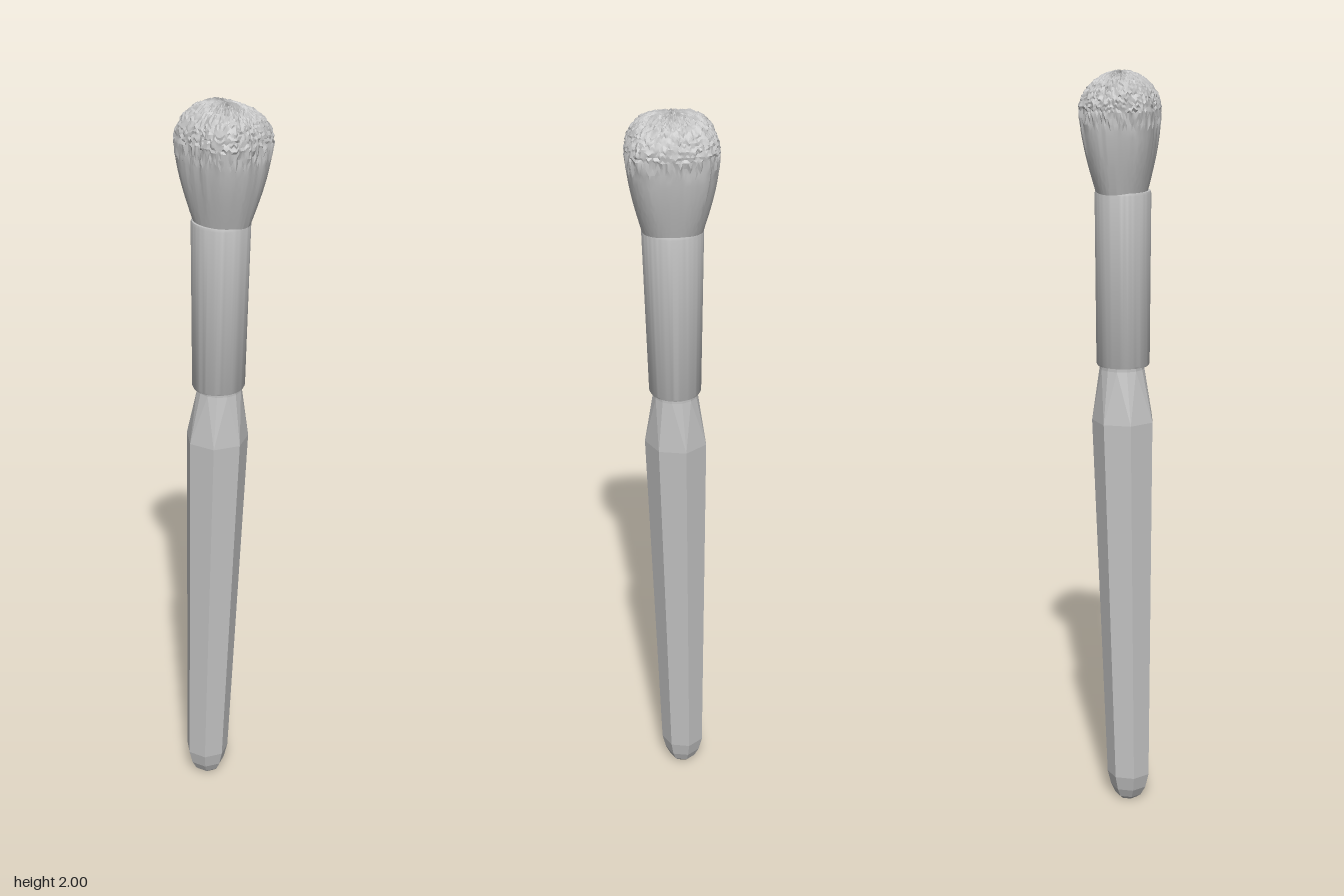
import * as THREE from 'three';
import { toCreasedNormals } from 'three/addons/utils/BufferGeometryUtils.js';

// Skin closed rings of points, listed from bottom to top, and cap both ends.
function loft(rings, crease) {
  const pos = [];
  const tri = (a, b, c) => pos.push(...a, ...b, ...c);
  const n = rings[0].length;
  const middle = (ring) => [0, 1, 2].map((k) => ring.reduce((s, p) => s + p[k], 0) / n);
  for (let r = 0; r < rings.length - 1; r++) {
    const lo = rings[r], hi = rings[r + 1];
    for (let i = 0; i < n; i++) {
      const j = (i + 1) % n;
      // alternate the diagonals so they fan out from the even corners
      if (i % 2 === 0) {
        tri(lo[i], hi[i], hi[j]);
        tri(lo[i], hi[j], lo[j]);
      } else {
        tri(lo[i], hi[i], lo[j]);
        tri(hi[i], hi[j], lo[j]);
      }
    }
  }
  const first = rings[0], last = rings[rings.length - 1];
  const bottom = middle(first), top = middle(last);
  for (let i = 0; i < n; i++) {
    const j = (i + 1) % n;
    tri(bottom, first[i], first[j]);
    tri(top, last[j], last[i]);
  }
  const geo = new THREE.BufferGeometry();
  geo.setAttribute('position', new THREE.Float32BufferAttribute(pos, 3));
  return toCreasedNormals(geo, crease);
}

function ellipseRing(n, y, cx, cz, rx, rz) {
  return Array.from({ length: n }, (_, i) => {
    const a = (i / n) * Math.PI * 2;
    return [cx + rx * Math.cos(a), y, cz + rz * Math.sin(a)];
  });
}

// Seven-sided ring, with an extra point in the middle of each side.
function heptagonRing(y, cx, cz, r) {
  return ellipseRing(14, y, cx, cz, r, r).map((p, i) => {
    const k = i % 2 ? Math.cos(Math.PI / 7) : 1;
    return [cx + (p[0] - cx) * k, y, cz + (p[2] - cz) * k];
  });
}

// Repeatable noise from 0 to 1
function hash(i, k) {
  const s = Math.sin(i * 127.1 + k * 311.7) * 43758.5453;
  return s - Math.floor(s);
}

// Bristle head: round at the base, flaring to a rounded rectangle, with a rough dome
function bristleGeometry() {
  const n = 120, sideRows = 14, domeRows = 22, rings = [];
  for (let row = 0; row <= sideRows + domeRows; row++) {
    const s = Math.min(1, row / sideRows);
    const t = Math.max(0, (row - sideRows) / domeRows) * Math.PI * 0.485;
    const flare = Math.sin((s * Math.PI) / 2);
    const rx = (0.077 + 0.039 * flare) * Math.cos(t) ** 0.7;
    const rz = (0.065 + 0.034 * flare) * Math.cos(t) ** 1.05;
    const y = 1.68 + 0.22 * s + 0.102 * Math.sin(t);
    const p = 2 + 1.3 * s;
    const rough = Math.max(0, (row - sideRows + 3) / domeRows) > 0 ? 1 : 0;
    rings.push(Array.from({ length: n }, (_, i) => {
      const a = (i / n) * Math.PI * 2, c = Math.cos(a), d = Math.sin(a);
      const round = (Math.abs(c) ** p + Math.abs(d) ** p) ** (-1 / p);
      const strand = 0.045 * s * (hash(Math.floor(i / 2), 3) - 0.5);
      const tuft = rough * 0.06 * (hash(i, row) - 0.6);
      const k = round * (1 + strand + tuft);
      const drop = rough * 0.009 * hash(i + 7, row + 50) * Math.sin(t);
      return [-0.003 * (1 - s) + rx * k * c, Math.min(2, y - drop), 0.005 * (1 - s) + rz * k * d];
    }));
  }
  return loft(rings, 0.45);
}

export function createModel() {
  const model = new THREE.Group();
  model.name = 'brush';
  const grey = new THREE.MeshStandardMaterial({ color: 0xc2c2c2 });
  grey.name = 'plain grey';

  const add = (name, geometry) => {
    const mesh = new THREE.Mesh(geometry, grey);
    mesh.name = name;
    model.add(mesh);
  };

  // Slightly leaning faceted handle, with pointed facets running into a round neck
  add('handle', loft([
    heptagonRing(0, -0.036, 0.032, 0.025),
    heptagonRing(0.01, -0.036, 0.033, 0.037),
    heptagonRing(0.035, -0.036, 0.034, 0.05),
    heptagonRing(0.075, -0.036, 0.034, 0.06),
    heptagonRing(1.08, -0.014, 0.013, 0.085),
    ellipseRing(14, 1.22, -0.01, 0.007, 0.06, 0.06),
    ellipseRing(14, 1.25, -0.01, 0.007, 0.059, 0.059),
  ], 0.06));

  // Smooth metal sleeve
  add('ferrule', loft([
    ellipseRing(64, 1.23, -0.01, 0.01, 0.066, 0.068),
    ellipseRing(64, 1.236, -0.01, 0.01, 0.069, 0.071),
    ellipseRing(64, 1.685, -0.003, 0.008, 0.08, 0.074),
    ellipseRing(64, 1.692, -0.003, 0.008, 0.078, 0.072),
  ], 0.6));

  add('bristles', bristleGeometry());
  return model;
}
